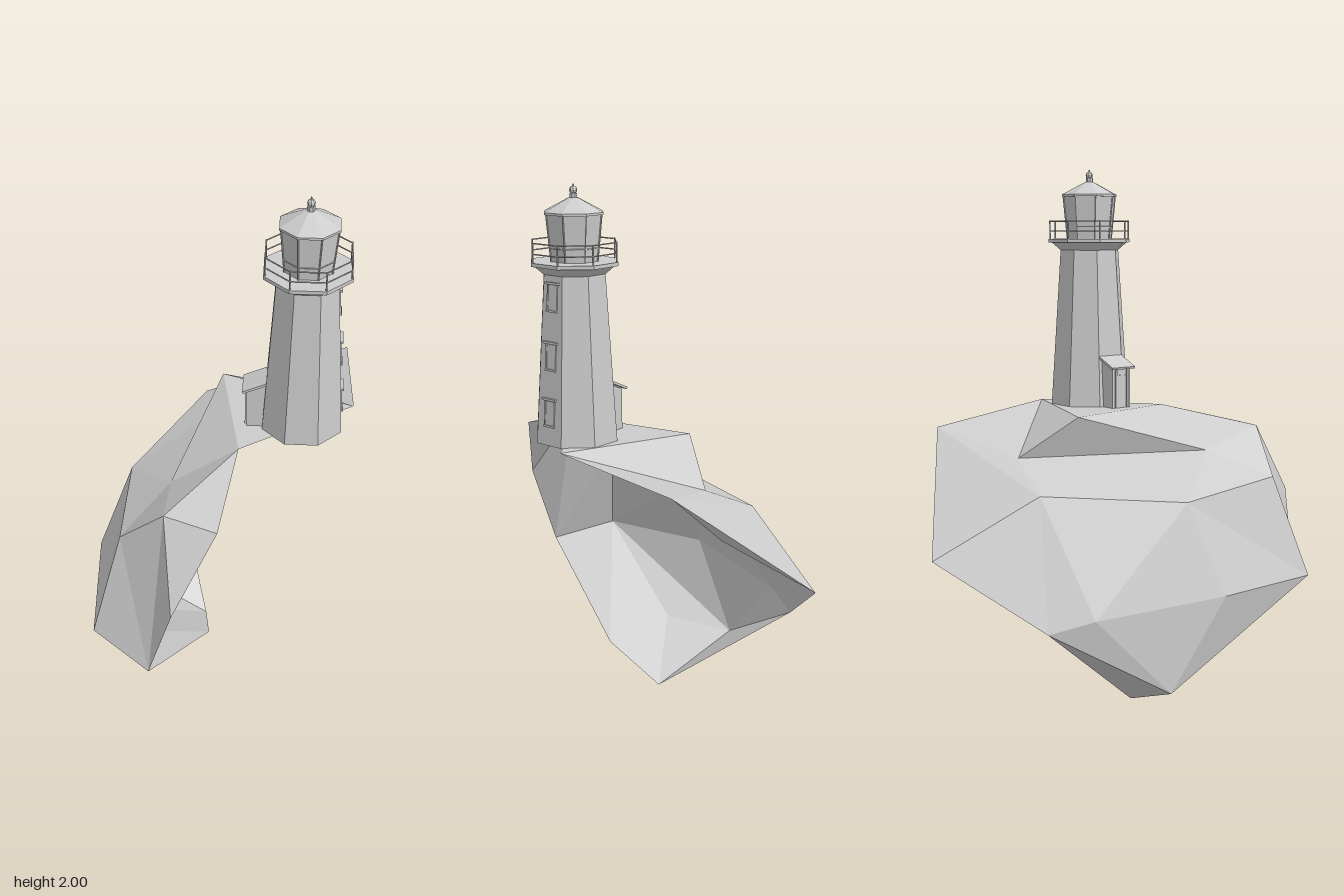
import * as THREE from 'three';

const mat = new THREE.MeshStandardMaterial({ color: 0xcccccc, flatShading: true });
const shellMat = new THREE.MeshStandardMaterial({ color: 0xcccccc, flatShading: true, side: THREE.DoubleSide });

function add(parent, name, geometry, x = 0, y = 0, z = 0, material = mat) {
  const mesh = new THREE.Mesh(geometry, material);
  mesh.name = name;
  mesh.position.set(x, y, z);
  parent.add(mesh);
  return mesh;
}

// Eight-sided prism with a flat side towards +x, from y0 to y1
function octagon(parent, name, rBottom, rTop, y0, y1) {
  const g = new THREE.CylinderGeometry(rTop, rBottom, y1 - y0, 8);
  g.rotateY(Math.PI / 8);
  return add(parent, name, g, 0, (y0 + y1) / 2, 0);
}

const box = (w, h, d) => new THREE.BoxGeometry(w, h, d);

// Straight thin bar between two points
function bar(parent, name, a, b, r = 0.0025) {
  const m = add(parent, name, new THREE.CylinderGeometry(r, r, a.distanceTo(b), 5));
  m.position.copy(a).add(b).multiplyScalar(0.5);
  m.quaternion.setFromUnitVectors(new THREE.Vector3(0, 1, 0), b.clone().sub(a).normalize());
}

// Corner of an octagon ring
function corner(r, i, y) {
  const t = Math.PI / 8 + (i * Math.PI) / 4;
  return new THREE.Vector3(r * Math.cos(t), y, r * Math.sin(t));
}

// Craggy open shell of rock: named corners joined by triangle fans
function buildRock() {
  const P = {
    // cliff top
    a: [-0.08, 1.1, -0.185], b: [0.12, 1.1, 0.24], c: [0.445, 1.1, -0.14],
    d: [0, 0.95, -0.39], e: [-0.11, 0.95, 0.32],
    // back
    f: [0.305, 1.035, -0.61], g: [-0.19, 0.647, -0.77], w: [0.1, 0.85, -0.61],
    // shoulder
    h: [-0.22, 0.85, -0.385], i: [-0.345, 0.81, 0.13], j: [-0.22, 0.85, 0.55],
    // front
    k: [-0.04, 1.02, 0.575], l: [0.16, 1.01, 0.59], m: [0.05, 0.74, 0.765],
    n: [-0.05, 0.42, 0.75], o: [-0.295, 0.47, 0.67],
    // belly
    p: [-0.45, 0.48, 0.235], q: [-0.43, 0.44, -0.26], r: [-0.39, 0.4, -0.42],
    // foot
    s: [-0.45, 0.145, 0.02], t: [-0.29, 0.175, 0.24],
    u: [-0.09, 0.0, 0.02], v: [0, 0.13, 0.24],
  };
  // first letter is the hub, the rest its rim
  const fans = ['abcdeb', 'kbejnmlb', 'ijedhqpoj', 'opstvnj', 'spqrut', 'tuv', 'hdfgrq', 'dcf', 'gfw'];
  const pos = [];
  for (const fan of fans) {
    for (let n = 1; n < fan.length - 1; n++) pos.push(...P[fan[0]], ...P[fan[n]], ...P[fan[n + 1]]);
  }
  const g = new THREE.BufferGeometry();
  g.setAttribute('position', new THREE.Float32BufferAttribute(pos, 3));
  g.computeVertexNormals();
  return g;
}

function buildGallery(tower) {
  octagon(tower, 'galleryCorbel', 0.114, 0.15, 1.695, 1.725);
  octagon(tower, 'galleryFloor', 0.162, 0.162, 1.725, 1.738);
  const rail = new THREE.Group();
  rail.name = 'galleryRailing';
  tower.add(rail);
  for (let i = 0; i < 8; i++) {
    bar(rail, 'railPost', corner(0.156, i, 1.735), corner(0.156, i, 1.808), 0.003);
    for (const y of [1.768, 1.805]) bar(rail, 'railBar', corner(0.156, i, y), corner(0.156, i + 1, y));
  }
}

function buildLantern(tower) {
  octagon(tower, 'lanternRoom', 0.086, 0.102, 1.738, 1.9);
  for (let i = 0; i < 8; i++) {
    bar(tower, 'lanternMullion', corner(0.087, i, 1.738), corner(0.103, i, 1.9), 0.003);
    bar(tower, 'lanternSash', corner(0.092, i, 1.785), corner(0.092, i + 1, 1.785), 0.002);
  }
  octagon(tower, 'roofEave', 0.109, 0.109, 1.898, 1.906);
  octagon(tower, 'lanternRoof', 0.109, 0.018, 1.906, 1.953);
  octagon(tower, 'roofVent', 0.014, 0.014, 1.95, 1.968);
  add(tower, 'finialBall', new THREE.SphereGeometry(0.014, 8, 6), 0, 1.979, 0);
  octagon(tower, 'finialTip', 0.005, 0.002, 1.985, 2.0);
}

function buildWindow(tower, y) {
  const win = new THREE.Group();
  win.name = 'window';
  const apothem = 0.1432 - (y - 1.1) * 0.0616;
  win.position.set(apothem, y, 0);
  win.rotation.z = 0.0615;
  tower.add(win);
  add(win, 'windowPane', box(0.004, 0.085, 0.038), 0, 0, 0);
  add(win, 'windowHood', box(0.018, 0.008, 0.064), 0.002, 0.05, 0);
  add(win, 'windowSill', box(0.012, 0.007, 0.05), 0.001, -0.046, 0);
  for (const s of [-1, 1]) add(win, 'windowJamb', box(0.008, 0.09, 0.006), 0, 0, s * 0.021);
}

// Small lean-to entrance against the side opposite the windows
function buildPorch(tower) {
  const porch = new THREE.Group();
  porch.name = 'porch';
  tower.add(porch);
  const side = new THREE.Shape([[-0.2, 1.1], [-0.12, 1.1], [-0.12, 1.285], [-0.2, 1.25]]
    .map(([x, y]) => new THREE.Vector2(x, y)));
  const walls = new THREE.ExtrudeGeometry(side, { depth: 0.084, bevelEnabled: false });
  add(porch, 'porchWalls', walls, 0, 0, -0.042);
  const roof = add(porch, 'porchRoof', box(0.1, 0.009, 0.108), -0.169, 1.273, 0);
  roof.rotation.z = 0.42;
  add(porch, 'porchDoor', box(0.006, 0.125, 0.042), -0.201, 1.163, 0);
  for (const s of [-1, 1]) add(porch, 'doorPost', box(0.009, 0.145, 0.007), -0.202, 1.173, s * 0.026);
}

export function createModel() {
  const model = new THREE.Group();
  model.name = 'lighthouseOnRock';
  add(model, 'rock', buildRock(), 0, 0, 0, shellMat);

  const tower = new THREE.Group();
  tower.name = 'lighthouse';
  tower.position.set(0.286, 0, 0.006);
  tower.rotation.y = THREE.MathUtils.degToRad(15);
  model.add(tower);
  octagon(tower, 'towerWall', 0.155, 0.115, 1.098, 1.698);
  for (const y of [1.215, 1.415, 1.62]) buildWindow(tower, y);
  buildGallery(tower);
  buildLantern(tower);
  buildPorch(tower);
  return model;
}
